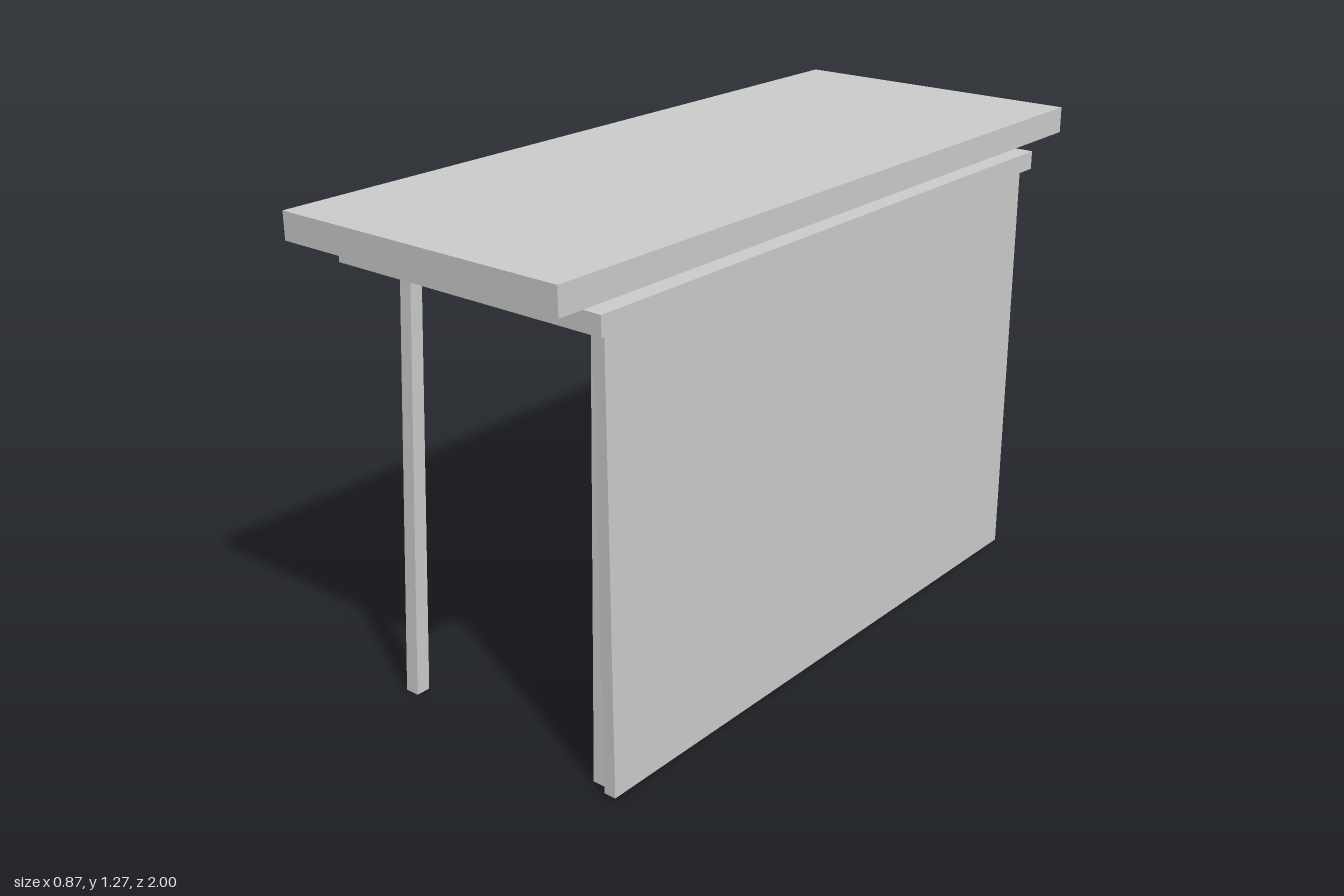
import * as THREE from 'three';

const material = new THREE.MeshStandardMaterial({ color: 0xcccccc, flatShading: true });

function add(parent, name, geometry) {
  const mesh = new THREE.Mesh(geometry, material);
  mesh.name = name;
  parent.add(mesh);
  return mesh;
}

// Box given by its minimum and maximum on each axis
function slab(parent, name, [x0, x1], [y0, y1], [z0, z1]) {
  const g = new THREE.BoxGeometry(x1 - x0, y1 - y0, z1 - z0);
  g.translate((x0 + x1) / 2, (y0 + y1) / 2, (z0 + z1) / 2);
  return add(parent, name, g);
}

// Tapered, splayed leg with level ends
function leg(parent, name, sx, sz) {
  const g = new THREE.BoxGeometry(1, 1, 1);
  const p = g.attributes.position;
  for (let i = 0; i < p.count; i++) {
    const top = p.getY(i) > 0;
    const w = top ? 0.035 : 0.039;
    const cx = sx > 0 ? (top ? 0.311 : 0.333) : (top ? -0.282 : -0.302);
    const cz = sz * (top ? 0.745 : 0.796);
    p.setXYZ(i, cx + p.getX(i) * w, top ? 1.125 : 0, cz + p.getZ(i) * w);
  }
  g.computeVertexNormals();
  return add(parent, name, g);
}

// Carcass open towards -x
function carcass(parent, name, y0, y1) {
  const group = new THREE.Group();
  group.name = name;
  parent.add(group);
  const x = [-0.35, 0.37], z0 = -0.69, z1 = -0.195, t = 0.02, h = 0.028;
  slab(group, 'carcassFloor', x, [y0, y0 + h], [z0, z1]);
  slab(group, 'carcassRoof', x, [y1 - h, y1], [z0, z1]);
  slab(group, 'carcassSideBack', x, [y0 + h, y1 - h], [z0, z0 + t]);
  slab(group, 'carcassSideFront', x, [y0 + h, y1 - h], [z1 - t, z1]);
  slab(group, 'carcassEnd', [0.35, 0.37], [y0 + h, y1 - h], [z0 + t, z1 - t]);
  return group;
}

export function createModel() {
  const desk = new THREE.Group();
  desk.name = 'desk';

  // Top board floating above the under-board
  slab(desk, 'tableTop', [-0.4, 0.43], [1.203, 1.272], [-1, 1]);
  slab(desk, 'underBoard', [-0.385, 0.42], [1.124, 1.173], [-0.868, 0.868]);
  slab(desk, 'modestyPanel', [0.37, 0.402], [0.005, 1.125], [-0.84, 0.84]);

  // Four splayed legs
  for (const sx of [-1, 1])
    for (const sz of [-1, 1])
      leg(desk, (sx < 0 ? 'seatSide' : 'panelSide') + 'Leg', sx, sz);

  // Open shelf below, drawer above
  carcass(desk, 'shelfBox', 0.528, 0.815);
  carcass(desk, 'drawerBox', 0.821, 1.107);

  const drawer = new THREE.Group();
  drawer.name = 'drawer';
  desk.add(drawer);
  slab(drawer, 'drawerFront', [-0.374, -0.358], [0.825, 1.1], [-0.69, -0.195]);

  // Chamfer behind the drawer front, narrowing into the carcass
  const bevel = new THREE.BoxGeometry(0.012, 0.275, 0.495);
  const p = bevel.attributes.position;
  for (let i = 0; i < p.count; i++) {
    if (p.getX(i) > 0) {
      p.setY(i, p.getY(i) * 0.87);
      p.setZ(i, p.getZ(i) * 0.93);
    }
  }
  bevel.translate(-0.352, 0.9625, -0.4425);
  bevel.computeVertexNormals();
  add(drawer, 'drawerFrontBevel', bevel);
  slab(drawer, 'drawerBody', [-0.347, 0.33], [0.853, 1.07], [-0.665, -0.22]);

  // U-shaped pull with clipped outer corners, drawn in plan (x, -z)
  const half = 0.126, c = 0.012, t = 0.024;
  const outline = [
    [-0.374, -half], [-0.435 + c, -half], [-0.435, -half + c],
    [-0.435, half - c], [-0.435 + c, half], [-0.374, half],
    [-0.374, half - t], [-0.435 + t, half - t],
    [-0.435 + t, -half + t], [-0.374, -half + t],
  ].map(([x, y]) => new THREE.Vector2(x, y));
  const pull = new THREE.ExtrudeGeometry(new THREE.Shape(outline), { depth: 0.032, bevelEnabled: false });
  pull.rotateX(-Math.PI / 2);
  pull.translate(0, 0.949, -0.442);
  add(drawer, 'drawerHandle', pull);

  return desk;
}
